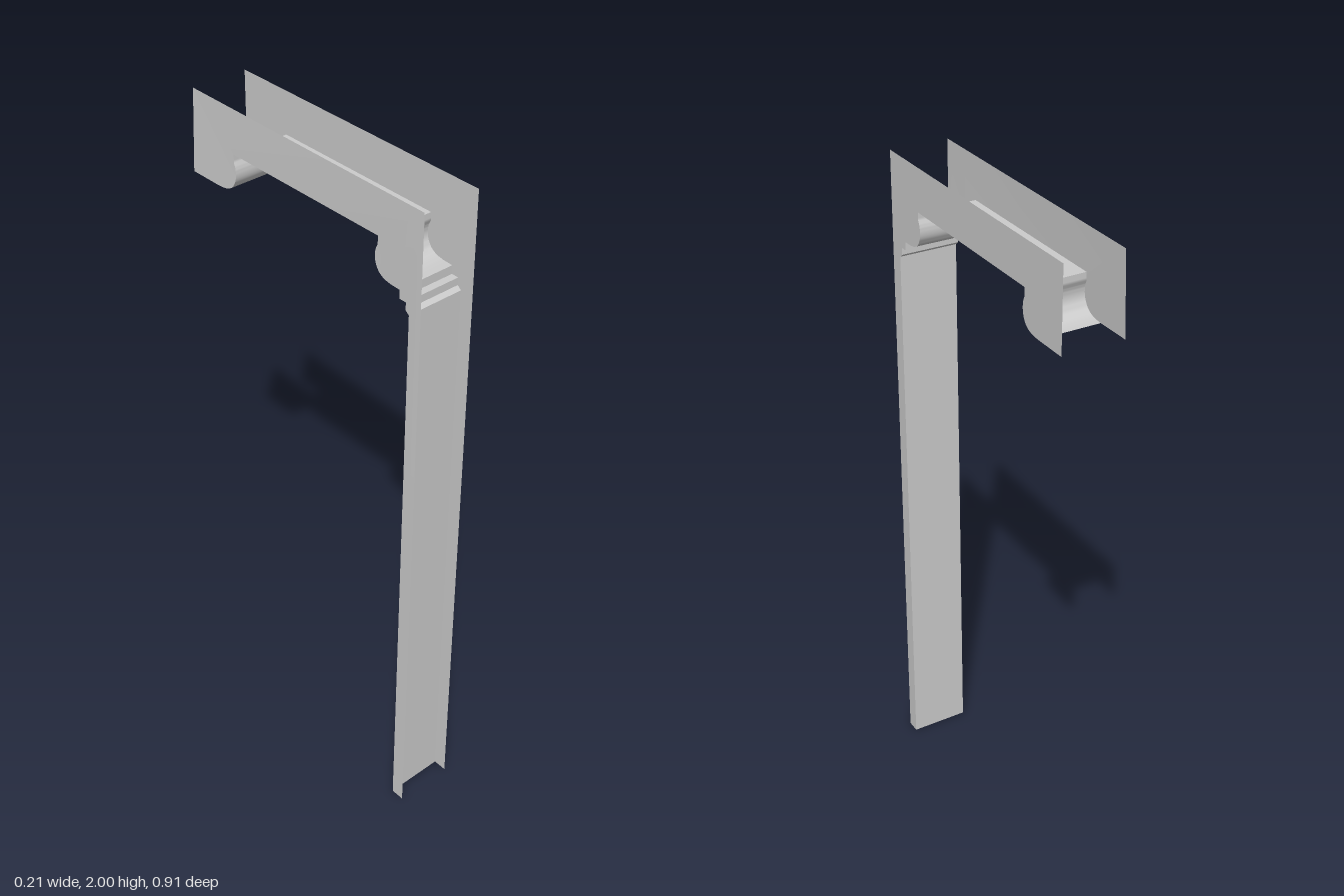
import * as THREE from 'three';
import { toCreasedNormals } from 'three/addons/utils/BufferGeometryUtils.js';

const FRONT = 0.457, BACK = -0.457, TOP = 2;

// Quarter-round corbel nose from its underside up to the notch below the beam
function nose(z, dir) {
  const curve = new THREE.CatmullRomCurve3([
    [0.06, 1.758], [0.035, 1.763], [0.015, 1.775], [0.002, 1.798],
    [0, 1.82], [0.003, 1.836], [0.009, 1.848],
  ].map(([d, y]) => new THREE.Vector3(z + dir * d, y, 0)));
  return curve.getPoints(18).map((p) => [p.x, p.y]);
}

// Inner outline (z, y): post, stepped moulding, front nose, beam soffit, back nose
const frontNose = nose(0.287, 1);
const backNose = nose(-0.27, -1).reverse();
const inner = [
  [0.415, 0], [0.415, 1.7], [0.403, 1.71], [0.403, 1.732], [0.38, 1.732], [0.38, 1.757],
  ...frontNose,
  [0.296, 1.856], [0.296, 1.872],
  [-0.279, 1.872], [-0.279, 1.856],
  ...backNose, [-0.345, 1.757],
];

// The channel skews sideways toward the back; the right-hand cheek also leans a little
function sideX(side, z, y) {
  const t = (FRONT - z) / (FRONT - BACK);
  if (side > 0) return 0.077 + 0.025 * t;
  return -0.104 + t * (0.018 + 0.01 * Math.max(0, (y - 1.76) / 0.24));
}

function cheekGeometry(side) {
  const outline = [[FRONT, 0], ...inner, [BACK, 1.757], [BACK, TOP], [FRONT, TOP]];
  const shape = new THREE.Shape(outline.map(([z, y]) => new THREE.Vector2(z, y)));
  const geo = new THREE.ShapeGeometry(shape);
  const pos = geo.attributes.position;
  for (let i = 0; i < pos.count; i++) {
    const z = pos.getX(i), y = pos.getY(i);
    pos.setXYZ(i, sideX(side, z, y), y, z);
  }
  geo.computeVertexNormals();
  return geo;
}

// Sheet that follows the inner outline between the two cheeks
function liningGeometry() {
  const verts = [], index = [];
  inner.forEach(([z, y], i) => {
    verts.push(sideX(-1, z, y), y, z, sideX(1, z, y), y, z);
    if (i) {
      const a = 2 * i - 2;
      index.push(a, a + 1, a + 3, a, a + 3, a + 2);
    }
  });
  const geo = new THREE.BufferGeometry();
  geo.setAttribute('position', new THREE.Float32BufferAttribute(verts, 3));
  geo.setIndex(index);
  return toCreasedNormals(geo, 0.6);
}

export function createModel() {
  const group = new THREE.Group();
  group.name = 'bracketChannel';
  const material = new THREE.MeshStandardMaterial({ color: 0xcccccc, side: THREE.DoubleSide });
  const add = (name, geo) => {
    const mesh = new THREE.Mesh(geo, material);
    mesh.name = name;
    group.add(mesh);
  };
  add('leftCheek', cheekGeometry(1));
  add('rightCheek', cheekGeometry(-1));
  add('innerLining', liningGeometry());
  return group;
}
